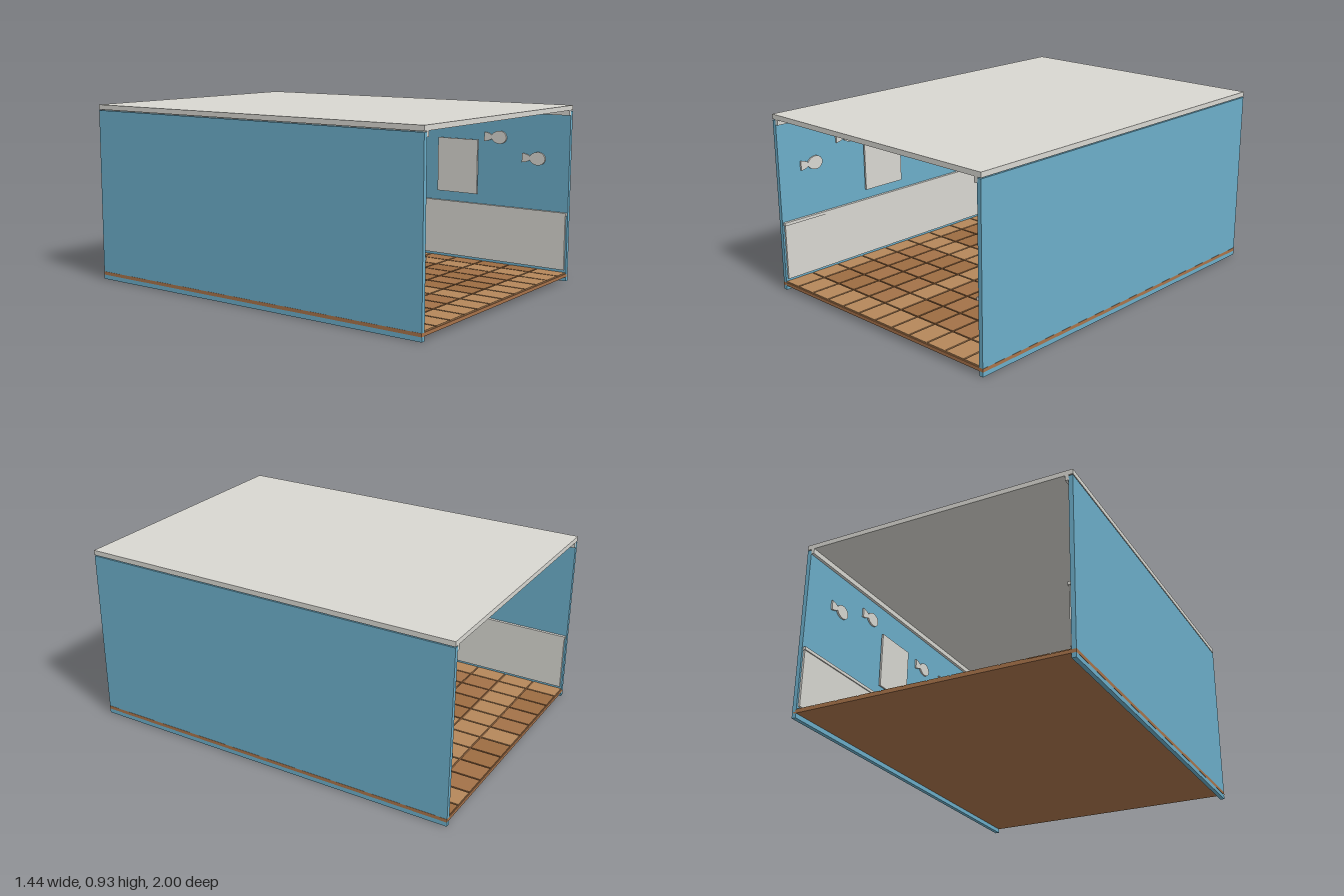
import * as THREE from 'three';

const mat = (color) => new THREE.MeshStandardMaterial({ color });
const wallMat = mat(0x6caec9);
const trimMat = mat(0xd8d7d1);
const slabMat = mat(0xa8734a);
const tileMats = [mat(0x9c6c42), mat(0xa37248), mat(0xb5875a)];

// Box given by its lower and upper corners
function box(name, material, [x0, y0, z0], [x1, y1, z1]) {
  const mesh = new THREE.Mesh(new THREE.BoxGeometry(x1 - x0, y1 - y0, z1 - z0), material);
  mesh.position.set((x0 + x1) / 2, (y0 + y1) / 2, (z0 + z1) / 2);
  mesh.name = name;
  return mesh;
}

// Fish silhouette: rounded body with a flared tail
function fishGeometry() {
  const s = new THREE.Shape();
  s.moveTo(-0.07, 0.025);
  s.quadraticCurveTo(-0.04, 0.022, -0.025, 0.01);
  s.bezierCurveTo(-0.005, 0.045, 0.06, 0.045, 0.065, 0);
  s.bezierCurveTo(0.06, -0.045, -0.005, -0.045, -0.025, -0.01);
  s.quadraticCurveTo(-0.04, -0.022, -0.07, -0.025);
  s.closePath();
  return new THREE.ExtrudeGeometry(s, { depth: 0.01, bevelEnabled: false, curveSegments: 10 });
}

// Wall with its trims, panels and fish; side is +1 for left, -1 for right
function sideWall(side, fishGeo) {
  const g = new THREE.Group();
  g.name = side > 0 ? 'leftWall' : 'rightWall';
  const part = (name, material, inner, outer, y0, y1, z0, z1) => {
    const xs = [side * inner, side * outer].sort((a, b) => a - b);
    g.add(box(name, material, [xs[0], y0, z0], [xs[1], y1, z1]));
  };
  part('wallPanel', wallMat, 0.698, 0.72, 0, 0.9, -1, 1);
  part('wainscot', trimMat, 0.688, 0.699, 0.06, 0.355, -0.99, 0.99);
  part('wainscotCap', trimMat, 0.682, 0.699, 0.35, 0.366, -0.995, 0.995);
  part('crownTrim', trimMat, 0.682, 0.7, 0.878, 0.906, -1, 1);

  // Framed panels standing slightly off the wall
  for (const z of [0.34, -0.245]) {
    part('hungPanel', trimMat, 0.678, 0.688, 0.42, 0.72, z - 0.125, z + 0.125);
    part('panelMount', trimMat, 0.687, 0.699, 0.5, 0.64, z - 0.04, z + 0.04);
  }

  // Fish decorations at varying heights
  for (const [z, y] of [[0.8, 0.64], [0.57, 0.74], [0.05, 0.7], [-0.474, 0.77], [-0.74, 0.685]]) {
    const fish = new THREE.Mesh(fishGeo, trimMat);
    fish.name = 'fish';
    fish.rotation.y = -side * Math.PI / 2;
    fish.position.set(side * 0.699, y, z);
    g.add(fish);
  }
  return g;
}

// Tiled floor
function floor() {
  const g = new THREE.Group();
  g.name = 'floor';
  g.add(box('floorSlab', slabMat, [-0.721, 0.023, -1], [0.721, 0.04, 1]));
  const nx = 12, nz = 12, dx = 0.12, dz = 2 / nz, gap = 0.004;
  for (let i = 0; i < nx; i++) {
    for (let j = 0; j < nz; j++) {
      const x0 = Math.max(-0.698, -0.72 + i * dx + gap);
      const x1 = Math.min(0.698, -0.72 + (i + 1) * dx - gap);
      const z0 = -1 + j * dz;
      const pick = (i * 7 + j * 5 + i * j * 3) % 5;
      const material = tileMats[pick === 0 ? 2 : pick % 2];
      g.add(box('floorTile', material, [x0, 0.039, z0 + gap], [x1, 0.046, z0 + dz - gap]));
    }
  }
  return g;
}

export function createModel() {
  const model = new THREE.Group();
  model.name = 'corridor';
  const fishGeo = fishGeometry();
  model.add(floor(), sideWall(1, fishGeo), sideWall(-1, fishGeo));
  model.add(box('ceiling', trimMat, [-0.721, 0.905, -1], [0.721, 0.93, 1]));
  return model;
}
